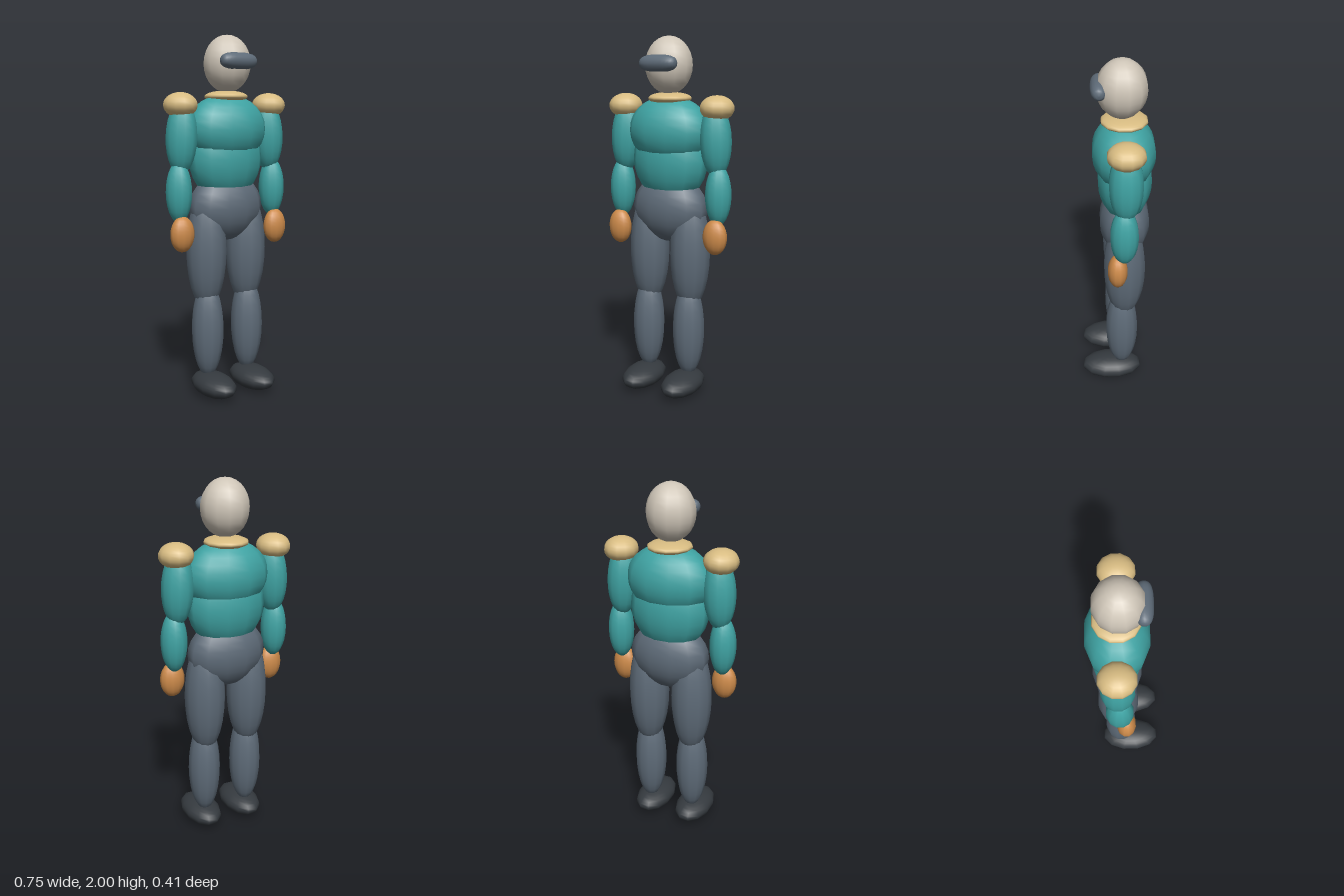
import * as THREE from 'three';

const paint = (name, hex) => {
  const m = new THREE.MeshStandardMaterial({ color: hex });
  m.name = name;
  return m;
};

export function createModel() {
  const model = new THREE.Group();
  model.name = 'figure';

  const bone = paint('bone', 0xcfc6b8);
  const slate = paint('slate', 0x5e6b78);
  const sand = paint('sand', 0xd8bc82);
  const teal = paint('teal', 0x3fa3a3);
  const orange = paint('orange', 0xcc8a4a);
  const charcoal = paint('charcoal', 0x353a3f);

  // Smooth twelve-sided ellipsoid with a flat side to the front
  const SIDES = 12;
  const ball = new THREE.SphereGeometry(1, SIDES, 14);
  ball.rotateY(Math.PI / SIDES);
  const fit = 1 / Math.cos(Math.PI / SIDES);

  function blob(name, material, [x, y, z], [rx, ry, rz], tilt = 0) {
    const mesh = new THREE.Mesh(ball, material);
    mesh.name = name;
    mesh.position.set(x, y, z);
    mesh.scale.set(rx * fit, ry, rz * fit);
    mesh.rotation.z = tilt;
    model.add(mesh);
  }

  // Head and torso
  blob('head', bone, [0, 1.845, -0.028], [0.128, 0.155, 0.128]);
  blob('collar', sand, [0, 1.668, -0.04], [0.117, 0.033, 0.12]);
  blob('chest', teal, [0, 1.49, -0.038], [0.235, 0.192, 0.165]);
  blob('abdomen', teal, [0, 1.33, -0.043], [0.215, 0.235, 0.143]);
  blob('pelvis', slate, [0, 1.06, -0.043], [0.218, 0.19, 0.135]);

  // Visor: a blunt rounded bar turned around the x axis
  const profile = [];
  for (let i = 0; i <= 14; i++) {
    const a = -Math.PI / 2 + (Math.PI * i) / 14;
    const blunt = (v) => Math.sign(v) * Math.pow(Math.abs(v), 0.7);
    profile.push(new THREE.Vector2(0.045 * blunt(Math.max(0, Math.cos(a))), 0.11 * blunt(Math.sin(a))));
  }
  const visor = new THREE.Mesh(new THREE.LatheGeometry(profile, 16), slate);
  visor.name = 'visor';
  visor.rotation.z = Math.PI / 2;
  visor.position.set(0, 1.855, 0.088);
  model.add(visor);

  // Limbs, mirrored
  for (const [side, s] of [['left', 1], ['right', -1]]) {
    blob(side + 'ShoulderPad', sand, [0.287 * s, 1.622, -0.04], [0.09, 0.068, 0.096]);
    blob(side + 'UpperArm', teal, [0.282 * s, 1.45, -0.039], [0.084, 0.2, 0.086], 0.04 * s);
    blob(side + 'Forearm', teal, [0.305 * s, 1.157, -0.031], [0.07, 0.167, 0.073]);
    blob(side + 'Hand', orange, [0.305 * s, 0.932, 0.004], [0.067, 0.098, 0.052]);
    blob(side + 'Thigh', slate, [0.13 * s, 0.82, -0.04], [0.11, 0.33, 0.113]);
    blob(side + 'Shin', slate, [0.131 * s, 0.375, -0.026], [0.088, 0.275, 0.09]);
    blob(side + 'Foot', charcoal, [0.129 * s, 0.067, 0.034], [0.1, 0.066, 0.171]);
  }

  return model;
}
